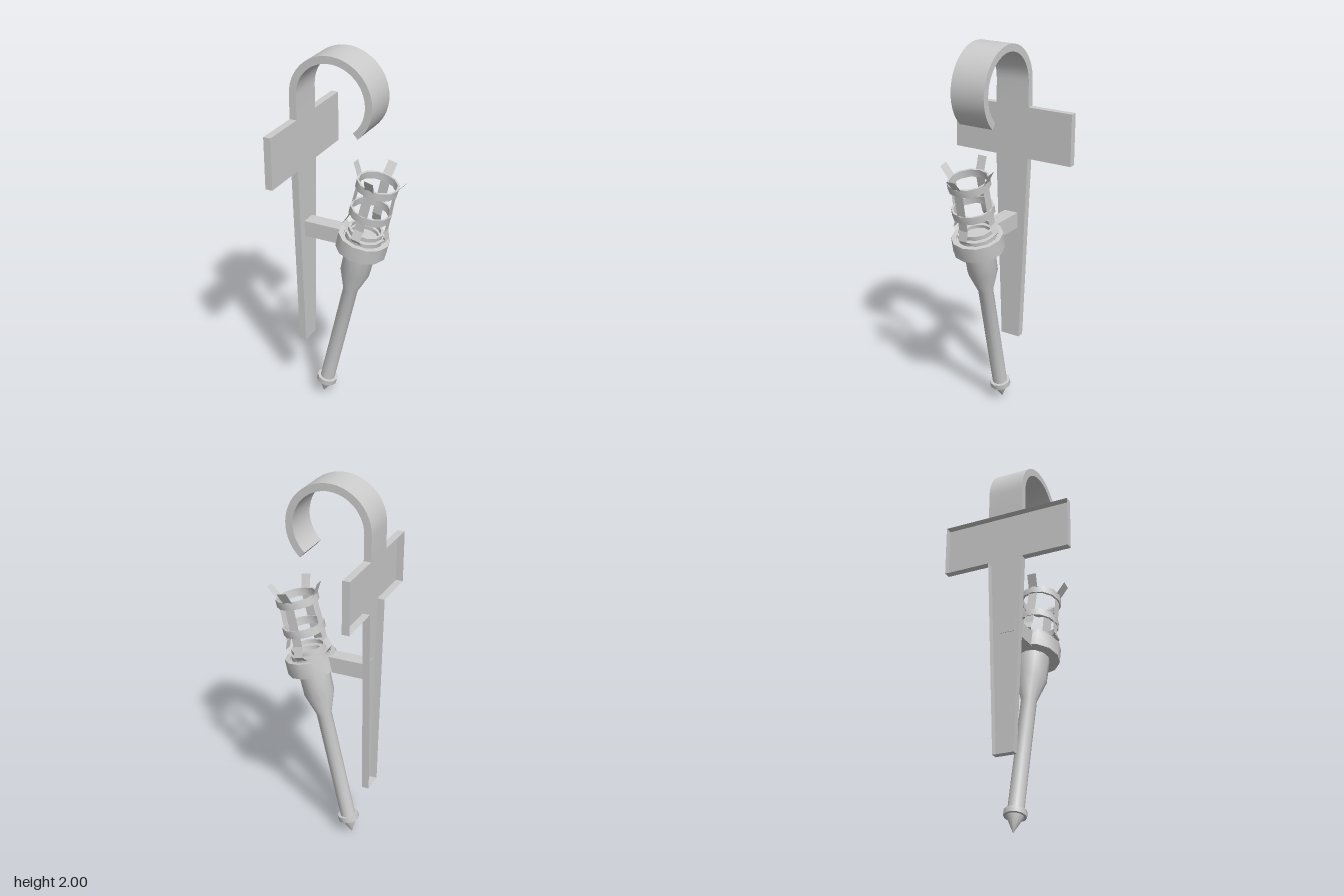
import * as THREE from 'three';
import { toCreasedNormals } from 'three/addons/utils/BufferGeometryUtils.js';

const mat = new THREE.MeshStandardMaterial({ color: 0xcccccc });
const thinMat = new THREE.MeshStandardMaterial({ color: 0xcccccc, side: THREE.DoubleSide });

function add(parent, name, geometry, material = mat) {
  const mesh = new THREE.Mesh(geometry, material);
  mesh.name = name;
  parent.add(mesh);
  return mesh;
}

const lathe = (points) => toCreasedNormals(
  new THREE.LatheGeometry(points.map(([r, y]) => new THREE.Vector2(r, y)), 12), 0.6);

// Closed ring with a rectangular section
const band = (inner, outer, y0, y1) =>
  lathe([[inner, y0], [outer, y0], [outer, y1], [inner, y1], [inner, y0]]);

// Strip made of quads between two rows of points
function ribbon(rowA, rowB) {
  const pos = [];
  for (let i = 0; i < rowA.length - 1; i++) {
    const [a, b, c, d] = [rowA[i], rowB[i], rowB[i + 1], rowA[i + 1]];
    pos.push(...a, ...b, ...c, ...a, ...c, ...d);
  }
  const g = new THREE.BufferGeometry();
  g.setAttribute('position', new THREE.Float32BufferAttribute(pos, 3));
  g.computeVertexNormals();
  return g;
}

function createBackplate() {
  const plate = new THREE.Group();
  plate.name = 'backplate';
  const back = -0.295, front = -0.257;

  // Cross-shaped face with tapering stem, as [z, y]
  const half = [[0.055, 0.35], [0.095, 1.38], [0.345, 1.38], [0.345, 1.65]];
  const outline = [...half, ...half.map(([z, y]) => [-z, y]).reverse()];
  const shape = new THREE.Shape(outline.map(([z, y]) => new THREE.Vector2(-z, y)));
  const face = new THREE.ShapeGeometry(shape);
  face.rotateY(Math.PI / 2).translate(front, 0, 0);
  add(plate, 'plateFace', face, thinMat);

  // Rim around the face; the wall side stays open
  const loop = [...outline, outline[0]];
  add(plate, 'plateRim', ribbon(
    loop.map(([z, y]) => [front, y, z]),
    loop.map(([z, y]) => [back, y, z])), thinMat);

  // Curled hook on top
  const cx = -0.073, cy = 1.778, outer = 0.222, inner = 0.184, end = -0.85;
  const hook = new THREE.Shape();
  hook.moveTo(back, 1.65);
  hook.lineTo(back, cy);
  hook.absarc(cx, cy, outer, Math.PI, end, true);
  hook.absarc(cx, cy, inner, end, Math.PI, false);
  hook.lineTo(front, 1.65);
  const hookGeo = new THREE.ExtrudeGeometry(hook, { depth: 0.19, bevelEnabled: false, curveSegments: 16 });
  hookGeo.translate(0, 0, -0.095);
  add(plate, 'hook', toCreasedNormals(hookGeo, 0.5));

  // Arm that carries the torch
  const arm = new THREE.BoxGeometry(0.205, 0.085, 0.08);
  arm.translate(-0.1575, 1.032, 0);
  add(plate, 'bracketArm', arm);
  return plate;
}

function createTorch() {
  const torch = new THREE.Group();
  torch.name = 'torch';

  // Handle with pointed end and flared head
  add(torch, 'handle', lathe([
    [0, 0], [0.043, 0.085], [0.04, 0.115], [0.04, 0.735],
    [0.079, 0.855], [0.082, 1.0], [0, 1.0]]));
  add(torch, 'footRing', band(0.03, 0.056, 0.085, 0.115));

  // Collar with stepped seat for the basket
  add(torch, 'collar', lathe([
    [0.07, 0.993], [0.134, 0.993], [0.134, 1.075], [0.108, 1.075],
    [0.108, 1.06], [0, 1.06]]));
  add(torch, 'seat', lathe([
    [0.098, 1.055], [0.098, 1.088], [0.075, 1.088], [0.075, 1.07], [0, 1.07]]));
  add(torch, 'seatRing', band(0.078, 0.092, 1.1, 1.122));

  // Basket hoops
  [1.205, 1.36].forEach((y) => add(torch, 'basketHoop', band(0.098, 0.109, y, y + 0.04)));

  // Four bent uprights with splayed tips
  const path = [[0.088, 1.072], [0.123, 1.11], [0.104, 1.16], [0.098, 1.385], [0.141, 1.46]];
  const w = 0.025;
  for (let i = 0; i < 4; i++) {
    const upright = add(torch, 'basketUpright', ribbon(
      path.map(([r, y]) => [r, y, w]),
      path.map(([r, y]) => [r, y, -w])), thinMat);
    upright.rotation.y = i * Math.PI / 2;
  }

  torch.position.set(-0.181, 0, 0);
  torch.rotation.z = -0.232;
  return torch;
}

export function createModel() {
  const model = new THREE.Group();
  model.name = 'wallTorch';
  model.add(createBackplate(), createTorch());
  return model;
}
